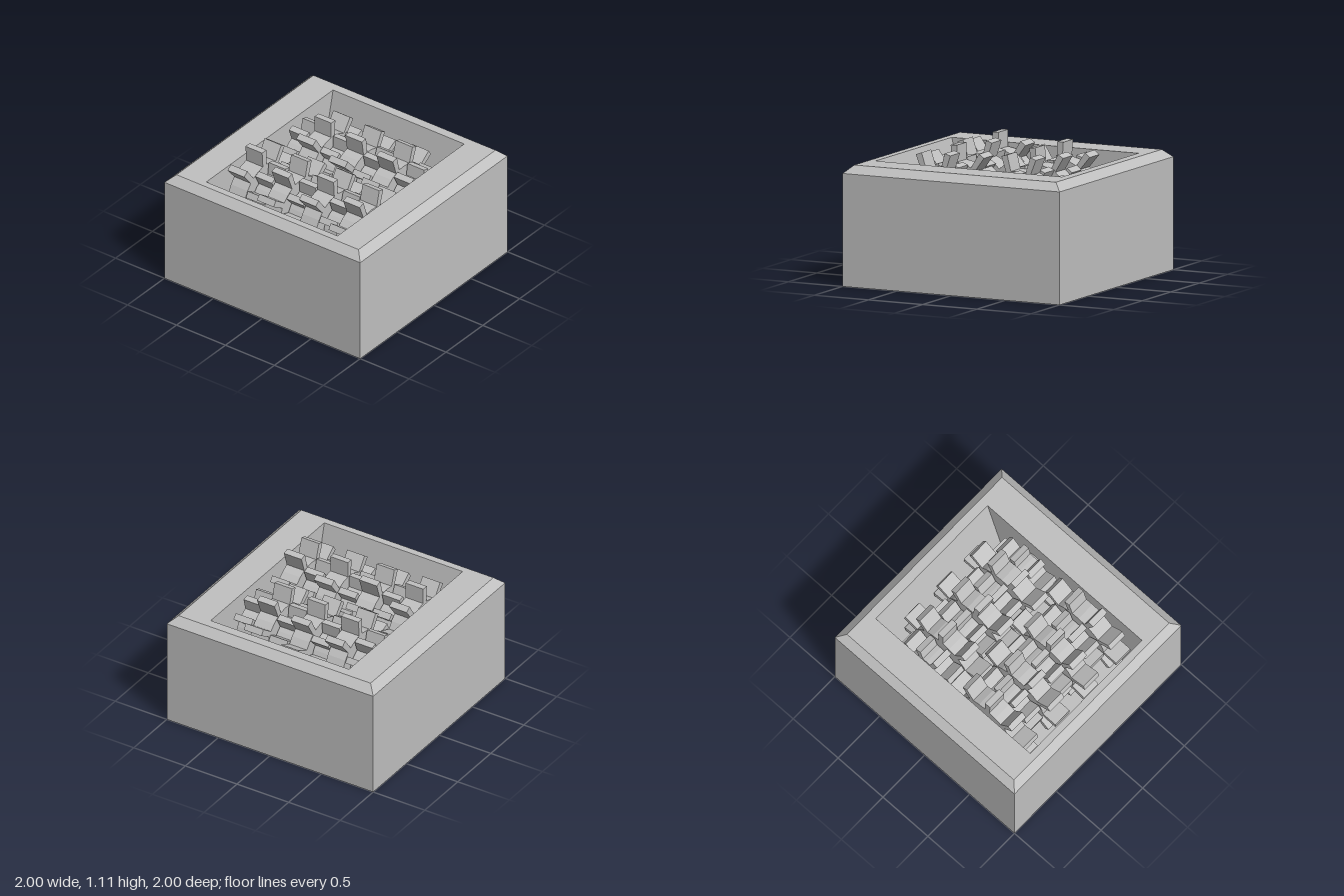
import * as THREE from 'three';

// Four corners of a level rectangle, starting at the front
const ring = (x0, x1, z, y) => [[x0, y, z], [x1, y, z], [x1, y, -z], [x0, y, -z]];

// Skin between successive four-cornered rings, flat faced
function skin(rings, closeEnd) {
  const pos = [];
  const quad = (a, b, c, d) => pos.push(...a, ...b, ...c, ...a, ...c, ...d);
  for (let k = 0; k + 1 < rings.length; k++) {
    for (let i = 0; i < 4; i++) {
      const j = (i + 1) % 4;
      quad(rings[k][i], rings[k][j], rings[k + 1][j], rings[k + 1][i]);
    }
  }
  if (closeEnd) quad(...rings[rings.length - 1]);
  const g = new THREE.BufferGeometry();
  g.setAttribute('position', new THREE.Float32BufferAttribute(pos, 3));
  g.computeVertexNormals();
  return g;
}

// Wheel with straight radial teeth, centred on its own thickness
function cutterGeometry(root, tip, teeth, thickness) {
  const pts = [];
  const step = (Math.PI * 2) / teeth;
  for (let i = 0; i < teeth; i++) {
    const a = i * step;
    const at = (r, side) => pts.push(new THREE.Vector2(
      r * Math.cos(a) - side * Math.sin(a), r * Math.sin(a) + side * Math.cos(a)));
    at(root, -0.023);
    at(tip, -0.028);
    at(tip, 0.028);
    at(root, 0.023);
    pts.push(new THREE.Vector2(root * Math.cos(a + step / 2), root * Math.sin(a + step / 2)));
  }
  const g = new THREE.ExtrudeGeometry(new THREE.Shape(pts), { depth: thickness, bevelEnabled: false });
  return g.translate(0, 0, -thickness / 2);
}

export function createModel() {
  const model = new THREE.Group();
  const grey = new THREE.MeshStandardMaterial({ color: 0xc0c0c0, flatShading: true, side: THREE.DoubleSide });
  grey.name = 'plain grey';
  const add = (name, geometry, x = 0, y = 0, z = 0) => {
    const m = new THREE.Mesh(geometry, grey);
    m.name = name;
    m.position.set(x, y, z);
    model.add(m);
    return m;
  };

  // Housing, open underneath, with a chamfered rim
  add('housing', skin([
    ring(-1, 1, 1, 0),
    ring(-1, 1, 1, 0.935),
    ring(-0.93, 0.93, 0.93, 1),
    ring(-0.87, 0.85, 0.67, 1),
  ]));

  // Hopper with sloping side walls and a flat floor
  add('hopper', skin([
    ring(-0.87, 0.85, 0.67, 1),
    ring(-0.66, 0.645, 0.67, 0.13),
  ], true));

  // Two shafts carrying alternating large and small cutters
  const shaftY = 0.682;
  const large = cutterGeometry(0.29, 0.43, 10, 0.17);
  const small = cutterGeometry(0.2, 0.305, 10, 0.17);
  const shaft = new THREE.CylinderGeometry(0.1, 0.1, 1.34, 16).rotateX(Math.PI / 2);
  [-0.345, 0.32].forEach((x, side) => {
    add(side ? 'leftShaft' : 'rightShaft', shaft, x, shaftY, 0);
    for (let row = 0; row < 7; row++) {
      const isLarge = row % 2 === side;
      const z = (row - 3) * 0.1825;
      const cutter = add(isLarge ? 'largeCutter' : 'smallCutter', isLarge ? large : small, x, shaftY, z);
      // Each row is turned a little further than the last
      const turn = side ? -2 + Math.floor(row / 2) * 9 : 2 + (row / 2) * 18;
      cutter.rotation.z = THREE.MathUtils.degToRad(90 + (isLarge ? turn : 18 + row * 7));
    }
  });

  return model;
}
